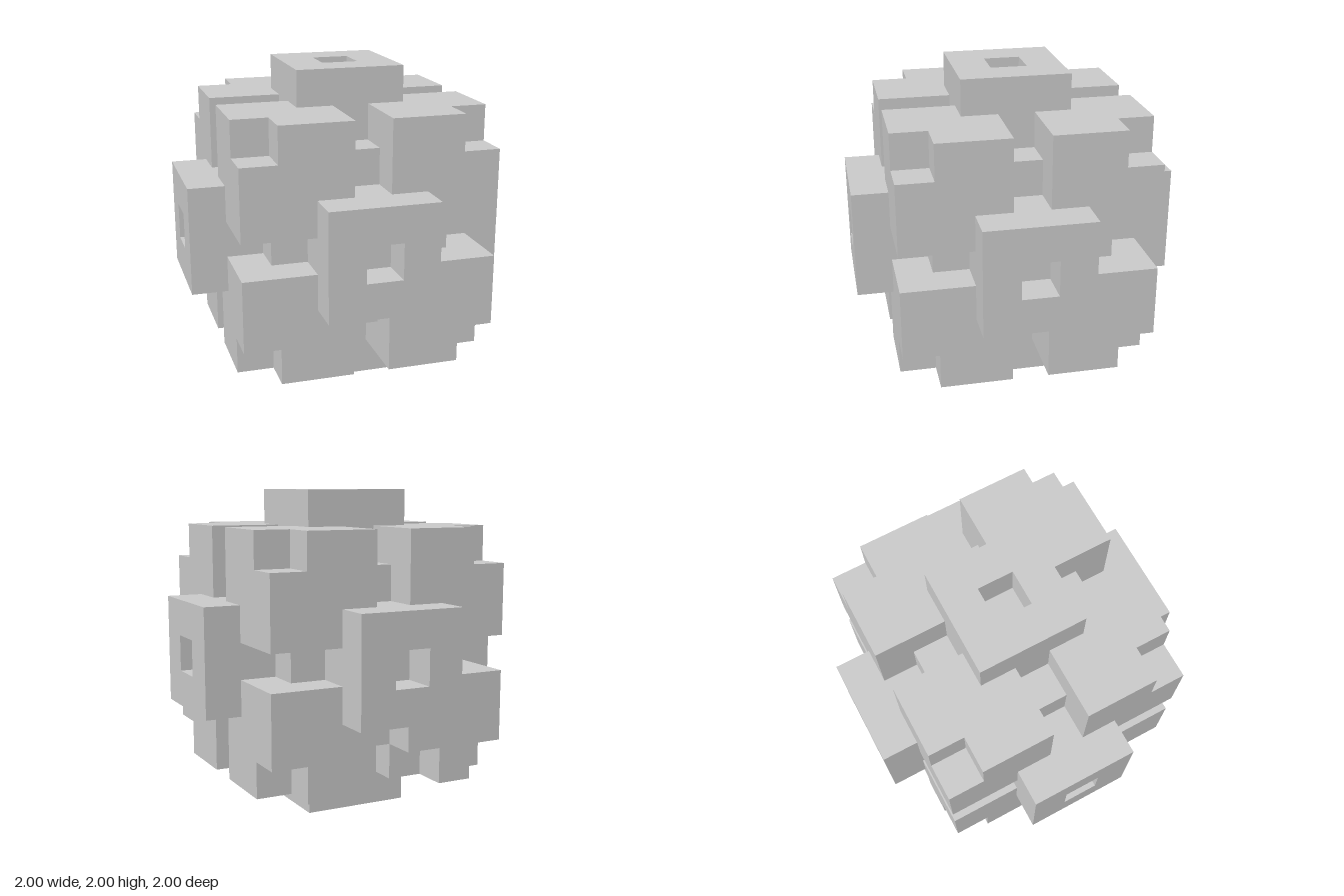
import * as THREE from 'three';

const U = 2 / 9; // one grid cell; the solid is nine cells wide

export function createModel() {
  const model = new THREE.Group();
  model.name = 'blockCluster';
  const material = new THREE.MeshStandardMaterial({ color: 0xcccccc, flatShading: true });

  const solid = new THREE.Group();
  solid.name = 'solid';
  solid.scale.setScalar(U);
  solid.position.y = 1;
  model.add(solid);

  const add = (parent, name, geometry) => {
    const mesh = new THREE.Mesh(geometry, material);
    mesh.name = name;
    parent.add(mesh);
  };
  const toPoints = (list, sx = 1, sy = 1) => list.map(([x, y]) => new THREE.Vector2(x * sx, y * sy));
  const square = (h) => toPoints([[-h, -h], [h, -h], [h, h], [-h, h]]);
  const extrude = (shape, depth, z) =>
    new THREE.ExtrudeGeometry(shape, { depth, bevelEnabled: false }).translate(0, 0, z);

  // Core, showing only in the gaps between the outer blocks
  add(solid, 'core', new THREE.BoxGeometry(5, 5, 5));

  // Six face blocks, each with a square pocket one cell deep
  const ring = new THREE.Shape(square(1.5));
  ring.holes.push(new THREE.Path(square(0.5).reverse()));
  const ringGeometry = extrude(ring, 3, 1.5);
  const floorGeometry = new THREE.BoxGeometry(1, 1, 2).translate(0, 0, 2.5);
  const q = Math.PI / 2;
  const faces = {
    front: [0, 0], back: [0, 2 * q], left: [0, q], right: [0, -q], top: [-q, 0], bottom: [q, 0],
  };
  for (const [side, [rx, ry]] of Object.entries(faces)) {
    const block = new THREE.Group();
    block.name = side + 'Block';
    block.rotation.set(rx, ry, 0);
    add(block, side + 'BlockRing', ringGeometry);
    add(block, side + 'PocketFloor', floorGeometry);
    solid.add(block);
  }

  // Eight corner blocks, each with its outermost cell cut away
  const full = [[0.5, 0.5], [3.5, 0.5], [3.5, 3.5], [0.5, 3.5]];
  const notched = [[0.5, 0.5], [3.5, 0.5], [3.5, 2.5], [2.5, 2.5], [2.5, 3.5], [0.5, 3.5]];
  // One corner block also lacks the cell at the inner end of its outer edge
  const twiceNotched = [...notched.slice(0, 5), [1.5, 3.5], [1.5, 2.5], [0.5, 2.5]];
  for (const sx of [1, -1]) for (const sy of [1, -1]) for (const sz of [1, -1]) {
    const name = (sy > 0 ? 'top' : 'bottom') + (sz > 0 ? 'Front' : 'Back') + (sx > 0 ? 'Left' : 'Right') + 'Corner';
    const outline = sx + sy + sz === -3 ? twiceNotched : notched;
    const block = new THREE.Group();
    block.name = name;
    add(block, name + 'Base', extrude(new THREE.Shape(toPoints(full, sx, sy)), 2, sz > 0 ? 0.5 : -2.5));
    add(block, name + 'Cap', extrude(new THREE.Shape(toPoints(outline, sx, sy)), 1, sz > 0 ? 2.5 : -3.5));
    solid.add(block);
  }

  return model;
}
